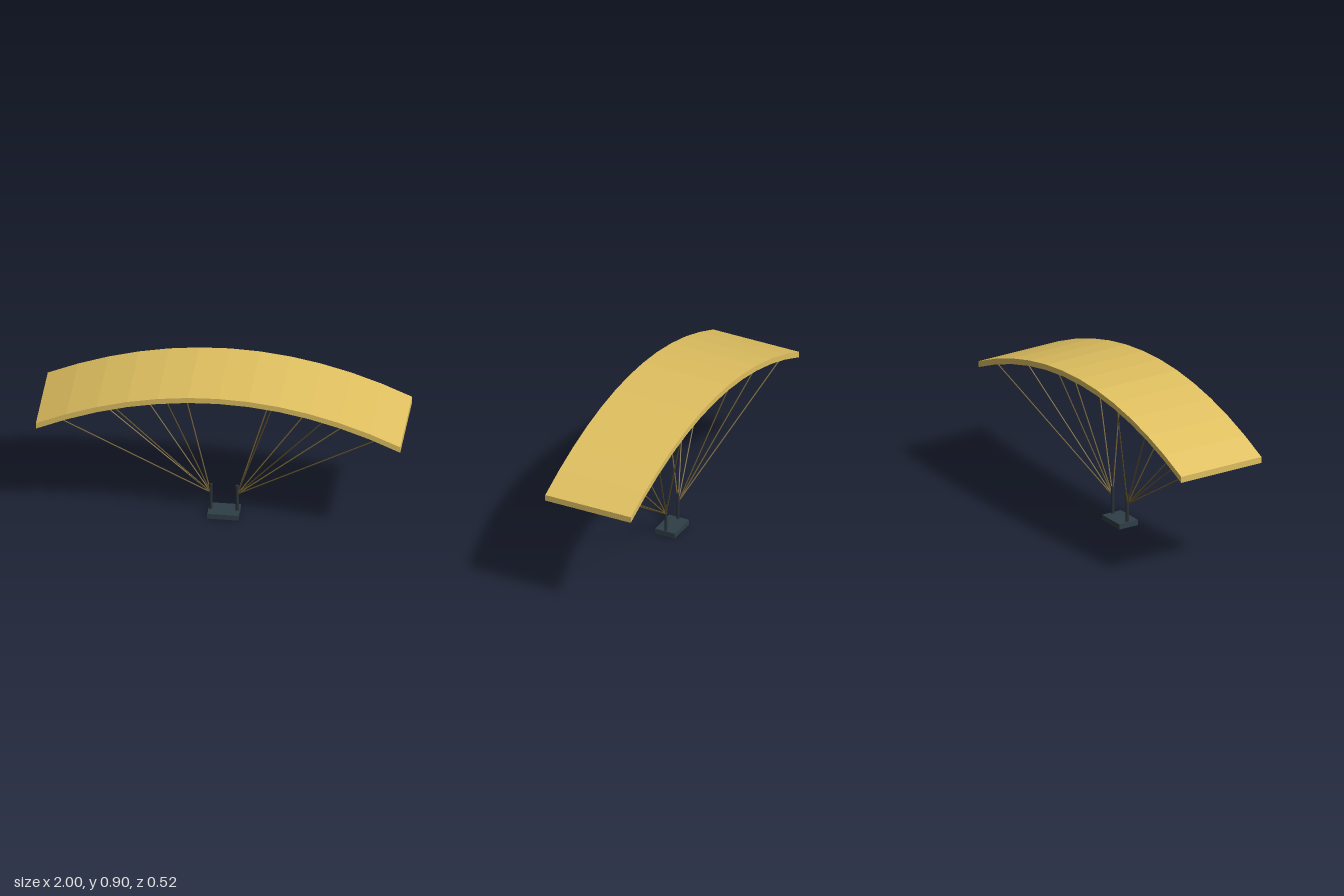
import * as THREE from 'three';

const canopyMat = new THREE.MeshStandardMaterial({ color: 0xe0c060 });
const lineMat = new THREE.MeshStandardMaterial({ color: 0x6b5a2e });
const seatMat = new THREE.MeshStandardMaterial({ color: 0x2f3e46 });
const riserMat = new THREE.MeshStandardMaterial({ color: 0x2a3238 });

function addMesh(parent, name, geometry, material) {
  const mesh = new THREE.Mesh(geometry, material);
  mesh.name = name;
  parent.add(mesh);
  return mesh;
}

// Thin rod between two points
function addRod(parent, name, from, to, radius, material) {
  const dir = to.clone().sub(from);
  const rod = addMesh(parent, name, new THREE.CylinderGeometry(radius, radius, dir.length(), 8), material);
  rod.position.copy(from).add(to).multiplyScalar(0.5);
  rod.quaternion.setFromUnitVectors(new THREE.Vector3(0, 1, 0), dir.normalize());
}

export function createModel() {
  const group = new THREE.Group();
  group.name = 'paraglider';

  // Arched canopy: parabolic strip extruded front to back
  const depth = 0.524;
  const arch = new THREE.Shape();
  arch.moveTo(-1, 0.632);
  arch.quadraticCurveTo(0, 1.104, 1, 0.632);
  arch.lineTo(1, 0.667);
  arch.quadraticCurveTo(0, 1.133, -1, 0.667);
  const canopyGeo = new THREE.ExtrudeGeometry(arch, { depth, bevelEnabled: false, curveSegments: 12 });
  canopyGeo.translate(0, 0, -depth / 2);
  addMesh(group, 'canopy', canopyGeo, canopyMat);

  // Seat board
  addMesh(group, 'seat', new THREE.BoxGeometry(0.17, 0.03, 0.122), seatMat).position.y = 0.015;

  for (const side of [-1, 1]) {
    // Riser post on each end of the seat
    const riser = addMesh(group, 'riser', new THREE.CylinderGeometry(0.009, 0.009, 0.165, 12), riserMat);
    riser.position.set(side * 0.072, 0.105, 0);

    // Suspension lines fan out from the riser to the canopy underside
    for (const x of [0.295, 0.59, 0.885]) {
      for (const z of [-0.218, 0.218]) {
        const y = 0.87 - 0.236 * x * x;
        addRod(group, 'suspensionLine', new THREE.Vector3(side * 0.073, 0.133, 0),
          new THREE.Vector3(side * x, y, z), 0.0037, lineMat);
      }
    }
  }
  return group;
}
